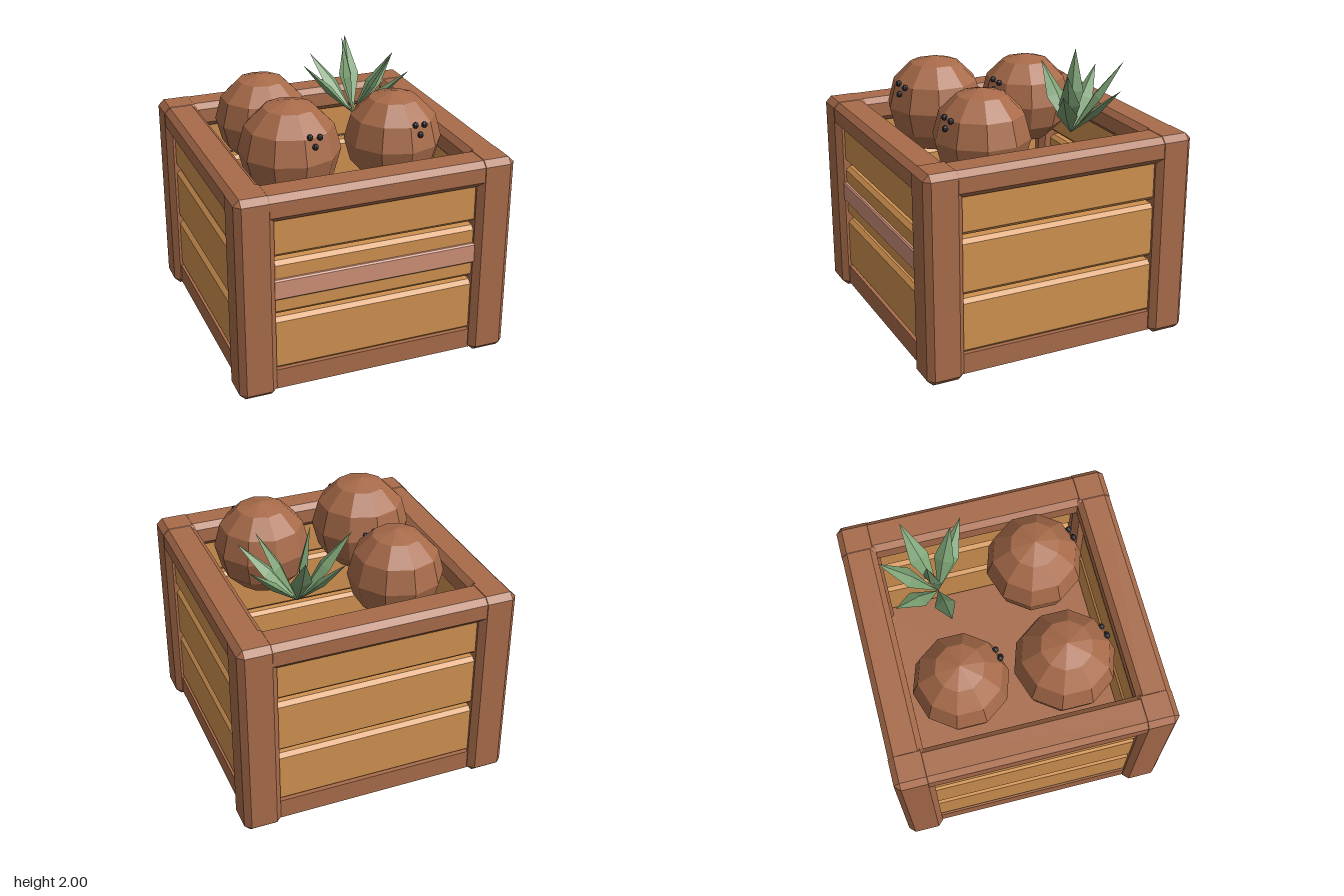
import * as THREE from 'three';
import { ConvexGeometry } from 'three/addons/geometries/ConvexGeometry.js';

const mat = (name, color, flatShading = false) => {
  const m = new THREE.MeshStandardMaterial({ color, flatShading });
  m.name = name;
  return m;
};

// Box between two corners with all edges chamfered by c
function chamferBox(min, max, c) {
  const pts = [];
  for (const x of [0, 1]) for (const y of [0, 1]) for (const z of [0, 1]) {
    const sides = [x, y, z];
    for (let flush = 0; flush < 3; flush++) {
      const p = sides.map((s, i) => {
        const inset = i === flush ? 0 : c;
        return s ? max[i] - inset : min[i] + inset;
      });
      pts.push(new THREE.Vector3(...p));
    }
  }
  return new ConvexGeometry(pts);
}

// Pointed leaf with a diamond cross-section
function leafGeometry(base, tip, axis) {
  const dir = tip.clone().sub(base).normalize();
  const outward = tip.clone().sub(axis).setY(0).normalize();
  const side = new THREE.Vector3(0, 1, 0).cross(outward).normalize();
  const normal = dir.clone().cross(side).normalize();
  const mid = base.clone().lerp(tip, 0.5);
  return new ConvexGeometry([
    base, tip,
    mid.clone().addScaledVector(side, 0.075),
    mid.clone().addScaledVector(side, -0.075),
    mid.clone().addScaledVector(normal, 0.03),
    mid.clone().addScaledVector(normal, -0.03),
  ]);
}

export function createModel() {
  const model = new THREE.Group();
  model.name = 'fruitCrate';
  const wood = mat('frameBrown', 0xa86b4a, true);
  const plank = mat('plankTan', 0xd09250, true);
  const pink = mat('stripPink', 0xcf9078, true);
  const leafGreen = mat('leafGreen', 0x7a9f72, true);
  const black = mat('eyeBlack', 0x2a2a2e, true);

  const add = (name, geometry, material, parent = model) => {
    const mesh = new THREE.Mesh(geometry, material);
    mesh.name = name;
    parent.add(mesh);
    return mesh;
  };

  // Corner posts
  for (const sx of [-1, 1]) for (const sz of [-1, 1]) {
    const post = add('cornerPost', chamferBox([-0.135, 0, -0.135], [0.135, 1.5, 0.135], 0.042), wood);
    post.position.set(sx * 0.865, 0, sz * 0.865);
  }

  // Four walls: top rail and three spaced planks each
  const railGeo = chamferBox([-0.85, 1.31, 0.75], [0.85, 1.497, 0.997], 0.04);
  const plankGeos = [[0.17, 0.57], [0.6, 1.0], [1.03, 1.4]].map(
    ([y0, y1]) => chamferBox([-0.8, y0, 0.82], [0.8, y1, 0.94], 0.028));
  for (let i = 0; i < 4; i++) {
    const wall = new THREE.Group();
    wall.name = 'wall';
    wall.rotation.y = i * Math.PI / 2;
    add('topRail', railGeo, wood, wall);
    for (const g of plankGeos) add('plank', g, plank, wall);
    model.add(wall);
  }

  // Floor slab
  const floor = add('floor', new THREE.BoxGeometry(1.9, 0.15, 1.9), wood);
  floor.position.y = 0.1;

  // Coloured strip on the front
  add('frontStrip', chamferBox([-0.745, 0.725, 0.92], [0.745, 0.875, 0.965], 0.01), pink);

  // Round fruit, each with three dark eyes
  const fruits = [
    { c: [-0.4, 1.52, 0.335], r: 0.358, eyes: [[0.04, 0.19, 0.3], [0.118, 0.175, 0.283], [0.075, 0.12, 0.31]] },
    { c: [0.38, 1.49, 0.322], r: 0.346, eyes: [[0.038, 0.185, 0.292], [0.112, 0.175, 0.278], [0.073, 0.115, 0.303]] },
    { c: [-0.36, 1.48, -0.39], r: 0.341, eyes: [[0.038, 0.18, 0.288], [0.11, 0.17, 0.273], [0.073, 0.113, 0.298]] },
  ];
  const eyeGeo = new THREE.SphereGeometry(0.022, 8, 6);
  for (const { c, r, eyes } of fruits) {
    const fruit = new THREE.Group();
    fruit.name = 'fruit';
    fruit.position.set(...c);
    add('shell', new THREE.SphereGeometry(r, 10, 6), wood, fruit).rotation.y = Math.PI / 2;
    for (const e of eyes) add('eye', eyeGeo, black, fruit).position.set(...e);
    model.add(fruit);
  }

  // Leaf tuft
  const tuft = new THREE.Group();
  tuft.name = 'leafTuft';
  const base = new THREE.Vector3(0.37, 1.41, -0.385);
  const tips = [
    [-0.04, 1.85, -0.36], [0.14, 1.82, -0.71], [0.45, 1.91, -0.76], [0.765, 1.8, -0.55],
    [0.71, 1.79, -0.13], [0.605, 1.9, -0.22], [0.3, 2.0, -0.45],
  ];
  for (const t of tips) add('leaf', leafGeometry(base, new THREE.Vector3(...t), base), leafGreen, tuft);
  model.add(tuft);

  return model;
}
